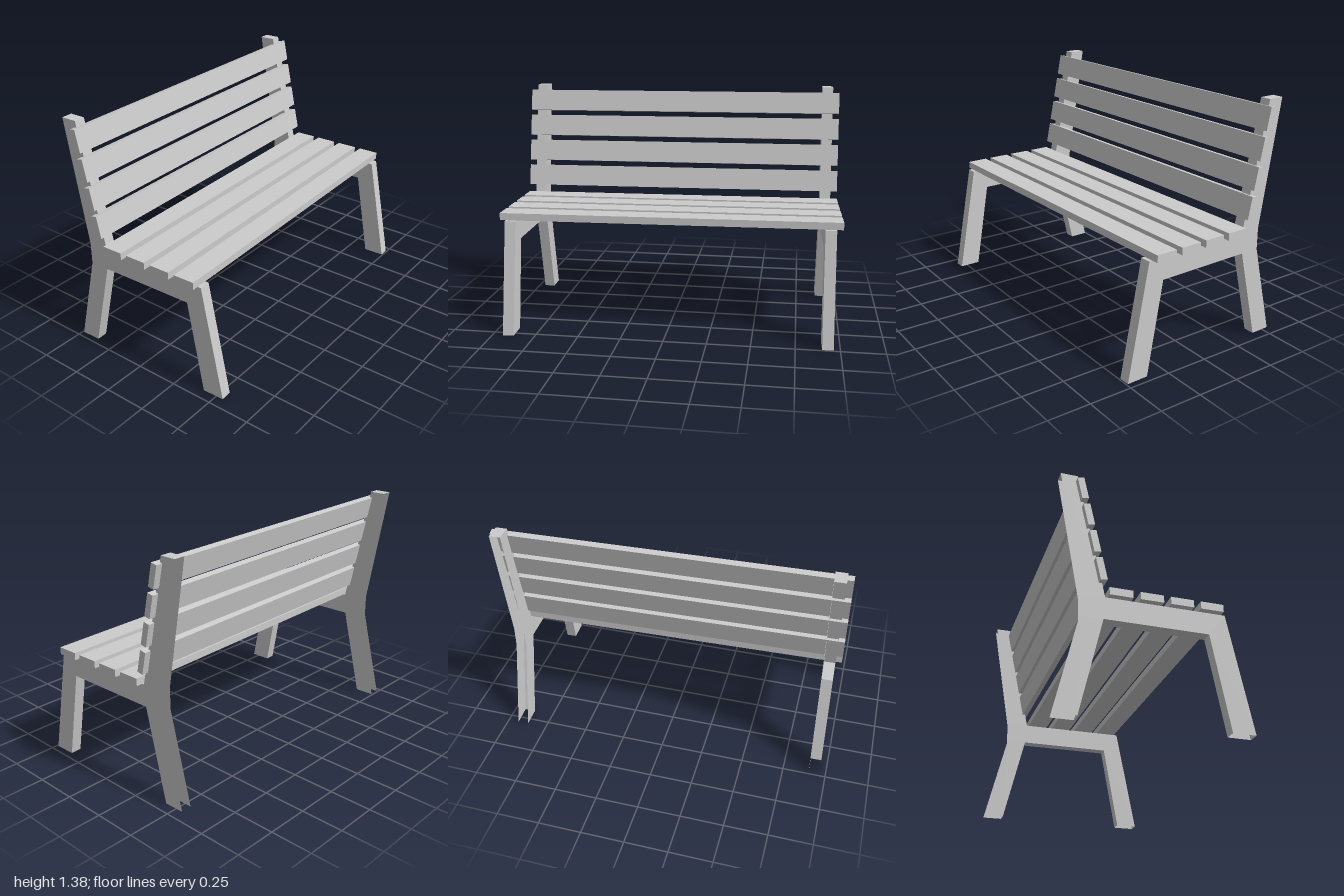
import * as THREE from 'three';

const material = new THREE.MeshStandardMaterial({ color: 0xcccccc, flatShading: true });
const shellMaterial = new THREE.MeshStandardMaterial({ color: 0xcccccc, flatShading: true, side: THREE.DoubleSide });

const LENGTH = 1.975, THICK = 0.037;

// Side outline of the frame as [z, y]
const OUTLINE = [
  [0.517, 0], [0.39, 0.655], [-0.263, 0.655], [-0.415, 1.375], [-0.508, 1.375],
  [-0.387, 0.655], [-0.387, 0.53], [-0.518, 0], [-0.4, 0], [-0.272, 0.53],
  [0.295, 0.53], [0.39, 0],
];

// Hollow frame: extruded outline, open under the feet and along the rear edge
function frameGeometry(width) {
  const shape = new THREE.Shape(OUTLINE.map(([z, y]) => new THREE.Vector2(z, y)));
  const solid = new THREE.ExtrudeGeometry(shape, { depth: width, bevelEnabled: false });
  solid.translate(0, 0, -width / 2).rotateY(-Math.PI / 2);
  const source = solid.index ? solid.toNonIndexed() : solid;
  const pos = source.attributes.position;
  const kept = [];
  const tri = new THREE.Triangle(), n = new THREE.Vector3(), mid = new THREE.Vector3();
  for (let i = 0; i < pos.count; i += 3) {
    tri.setFromAttributeAndIndices(pos, i, i + 1, i + 2);
    tri.getNormal(n);
    tri.getMidpoint(mid);
    const foot = n.y < -0.9 && mid.y < 0.01;
    const rear = n.z < -0.5 && mid.z < -0.3;
    if (foot || rear) continue;
    for (const p of [tri.a, tri.b, tri.c]) kept.push(p.x, p.y, p.z);
  }
  const geometry = new THREE.BufferGeometry();
  geometry.setAttribute('position', new THREE.Float32BufferAttribute(kept, 3));
  geometry.computeVertexNormals();
  return geometry;
}

function addPart(parent, name, geometry, mat, x, y, z) {
  const mesh = new THREE.Mesh(geometry, mat);
  mesh.name = name;
  mesh.position.set(x, y, z);
  parent.add(mesh);
  return mesh;
}

export function createModel() {
  const model = new THREE.Group();
  model.name = 'bench';
  // The whole bench is turned slightly about the vertical axis
  const bench = new THREE.Group();
  bench.name = 'turnedBench';
  bench.rotation.y = 0.0275;
  model.add(bench);

  // Side frames
  const frame = frameGeometry(0.064);
  addPart(bench, 'leftFrame', frame, shellMaterial, 0.917, 0, 0);
  addPart(bench, 'rightFrame', frame, shellMaterial, -0.92, 0, 0);

  // Four seat slats and four back slats leaning with the posts
  const seatSlat = new THREE.BoxGeometry(LENGTH, 0.042, 0.126);
  const backSlat = new THREE.BoxGeometry(LENGTH, 0.13, THICK);
  const slope = (0.415 - 0.263) / (1.375 - 0.655);
  for (let i = 0; i < 4; i++) {
    addPart(bench, `seatSlat${i + 1}`, seatSlat, material, 0, 0.676, 0.306 - i * 0.1645);
    const y = 0.8 + i * 0.159;
    const slat = addPart(bench, `backSlat${i + 1}`, backSlat, material, 0, y, -0.261 - (y - 0.655) * slope);
    slat.rotation.x = -Math.atan(slope);
  }
  return model;
}
